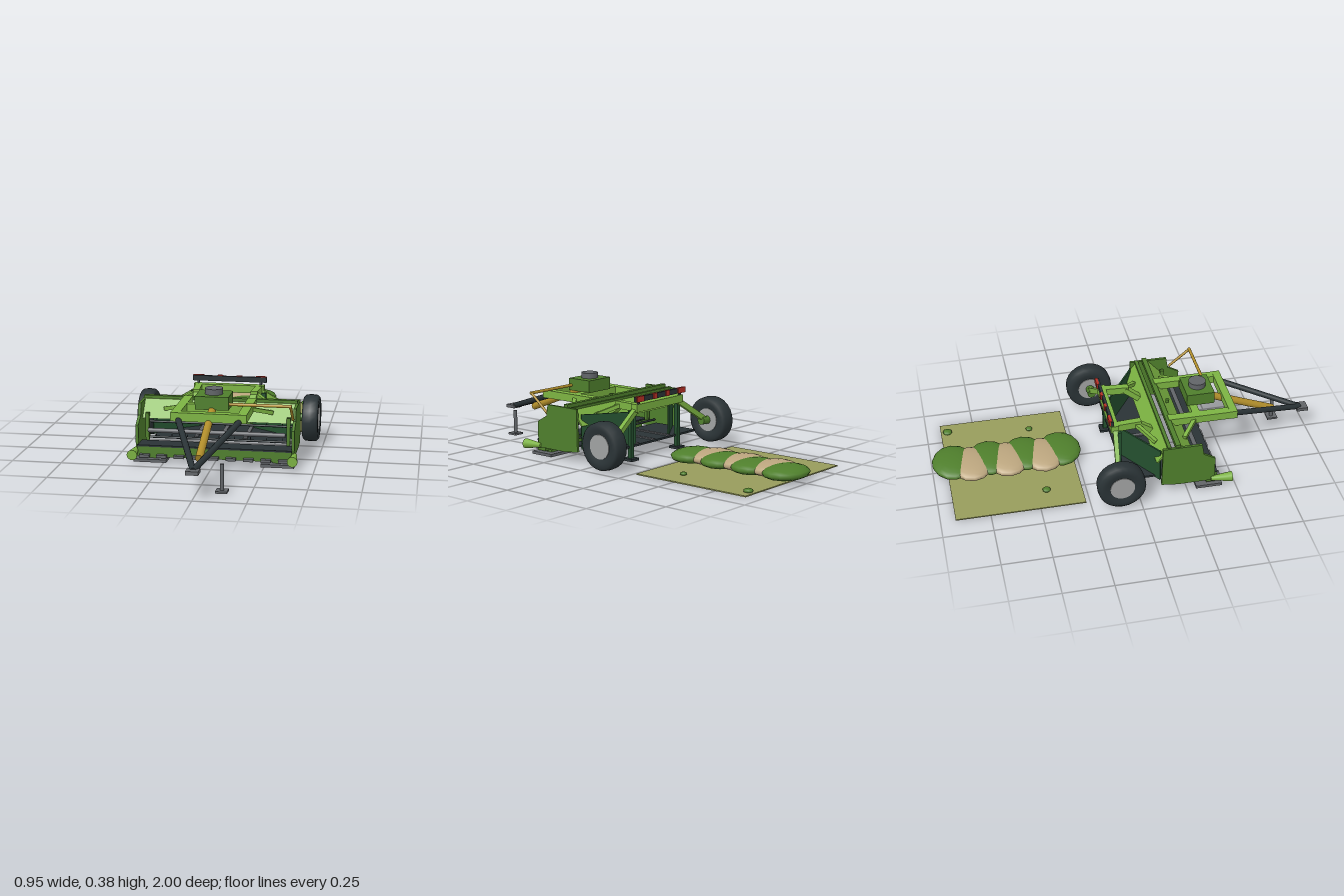
import * as THREE from 'three';

const mat = (name, color) => {
  const m = new THREE.MeshStandardMaterial({ color });
  m.name = name;
  return m;
};

export function createModel() {
  const light = mat('light green', 0x7cb342), mid = mat('mid green', 0x4f7f2c);
  const dark = mat('dark green', 0x24502f), slate = mat('slate black', 0x2a3336);
  const grey = mat('steel grey', 0x616468), gold = mat('gold', 0xb08d2a);
  const straw = mat('straw', 0xbba57e), olive = mat('stubble olive', 0x979c5c);
  const red = mat('lamp red', 0xb83026), rim = mat('rim grey', 0xa0a2a2);
  const root = new THREE.Group();
  root.name = 'mowerConditioner';

  const add = (name, geo, m) => {
    const mesh = new THREE.Mesh(geo, m);
    mesh.name = name;
    root.add(mesh);
    return mesh;
  };
  // box from its min and max on each axis
  const box = (name, m, x0, x1, y0, y1, z0, z1) => {
    const b = add(name, new THREE.BoxGeometry(Math.abs(x1 - x0), y1 - y0, z1 - z0), m);
    b.position.set((x0 + x1) / 2, (y0 + y1) / 2, (z0 + z1) / 2);
    return b;
  };
  // round bar between two points
  const rod = (name, m, a, b, r, r2 = r, seg = 12) => {
    const p = new THREE.Vector3(...a), q = new THREE.Vector3(...b);
    const mesh = add(name, new THREE.CylinderGeometry(r2, r, p.distanceTo(q), seg), m);
    mesh.position.copy(p).lerp(q, 0.5);
    mesh.quaternion.setFromUnitVectors(new THREE.Vector3(0, 1, 0), q.sub(p).normalize());
    return mesh;
  };
  // rectangular bar between two points
  const beam = (name, m, a, b, w, h) => {
    const p = new THREE.Vector3(...a), q = new THREE.Vector3(...b);
    const mesh = add(name, new THREE.BoxGeometry(w, h, p.distanceTo(q)), m);
    mesh.position.copy(p).lerp(q, 0.5);
    mesh.lookAt(q);
    return mesh;
  };
  // profile in (z, y) extruded along x
  const side = (name, m, pts, x0, x1) => {
    const s = new THREE.Shape(pts.map(([z, y]) => new THREE.Vector2(-z, y)));
    const g = new THREE.ExtrudeGeometry(s, { depth: x1 - x0, bevelEnabled: false });
    g.rotateY(Math.PI / 2).translate(x0, 0, 0);
    return add(name, g, m);
  };

  // stubble field and windrow
  box('stubble', olive, -0.39, 0.39, 0, 0.006, -0.925, -0.27);
  for (let i = 0; i < 7; i++) {
    const green = i % 2 === 0;
    const clump = add('windrowClump', new THREE.SphereGeometry(1, 14, 10), green ? mid : straw);
    clump.scale.set(0.135, 0.036, 0.11);
    clump.position.set(green ? 0.015 : -0.015, 0.044, -0.335 - i * 0.0925);
  }
  for (const [x, z, r] of [[0.32, -0.89, 0.024], [-0.26, -0.45, 0.021], [0.26, -0.46, 0.018]]) {
    const tuft = add('grassTuft', new THREE.SphereGeometry(r, 10, 8), mid);
    tuft.scale.y = 0.5;
    tuft.position.set(x, 0.012, z);
  }

  // hood: two sloping plates with top rails
  side('hoodFront', light, [[0.205, 0.275], [0.215, 0.275], [0.29, 0.19], [0.28, 0.19]], -0.385, 0.385);
  side('hoodRear', light, [[0.155, 0.275], [0.165, 0.275], [0.1, 0.19], [0.09, 0.19]], -0.385, 0.385);
  box('hoodRail', mid, -0.39, 0.39, 0.268, 0.29, 0.185, 0.21);
  box('hoodRail', mid, -0.39, 0.39, 0.268, 0.28, 0.145, 0.163);

  // cutter bar with knife tabs
  box('cutterBar', mid, -0.385, 0.385, 0.025, 0.08, 0.35, 0.405);
  box('cutterDeck', slate, -0.385, 0.385, 0.076, 0.084, 0.31, 0.408);
  for (let i = -4; i <= 4; i++) {
    box('knifeTab', grey, i * 0.0865 - 0.025, i * 0.0865 + 0.025, 0.026, 0.04, 0.39, 0.43);
  }
  // front roller and conditioner rotors with tines
  rod('frontRoller', grey, [-0.345, 0.141, 0.33], [0.345, 0.141, 0.33], 0.012);
  for (const [y, z] of [[0.163, 0.24], [0.085, 0.25]]) {
    rod('rotor', slate, [-0.375, y, z], [0.375, y, z], 0.006);
    for (let i = -4; i <= 4; i++) {
      rod('tine', slate, [i * 0.08, y - 0.006, z], [i * 0.08, y + 0.018, z], 0.003, 0.002, 6);
    }
  }
  // crop floor with ribs
  box('cropFloor', slate, -0.34, 0.34, 0.068, 0.078, -0.06, 0.21);
  for (const x of [-0.125, 0, 0.125]) box('floorRib', grey, x - 0.01, x + 0.01, 0.078, 0.084, -0.055, 0.2);

  // front frame, gearbox and cap
  box('frameFront', light, -0.185, 0.185, 0.252, 0.295, 0.52, 0.56);
  box('frameCross', light, -0.14, 0.14, 0.255, 0.293, 0.33, 0.37);
  box('gearbox', mid, -0.083, 0.083, 0.29, 0.355, 0.318, 0.463);
  rod('gearboxCap', grey, [0, 0.35, 0.39], [0, 0.384, 0.39], 0.044, 0.044, 20);
  rod('hoodBump', mid, [0, 0.27, 0.235], [0, 0.288, 0.235], 0.01);

  // rear frame, lamp bar and lamps
  box('rearBeam', light, -0.185, 0.185, 0.255, 0.295, -0.1, -0.06);
  box('lampBar', slate, -0.195, 0.195, 0.307, 0.334, -0.103, -0.088);
  for (const x of [-0.165, -0.05, 0.05, 0.165]) {
    const w = Math.abs(x) > 0.1 ? 0.028 : 0.014;
    box('lamp', red, x - w, x + w, 0.308, 0.337, -0.11, -0.096);
  }

  // drawbar hitch, drive shaft and parking jack
  box('hitchPlate', grey, -0.03, 0.03, 0.12, 0.138, 0.94, 1);
  rod('driveShaft', gold, [0, 0.29, 0.44], [0, 0.145, 0.81], 0.019);
  rod('jackPost', grey, [0.113, 0.005, 0.845], [0.113, 0.135, 0.845], 0.01);
  box('jackFoot', grey, 0.085, 0.141, 0, 0.01, 0.818, 0.874);

  // hydraulic line on the left side
  rod('hydraulicLine', gold, [0.07, 0.318, 0.447], [0.388, 0.318, 0.447], 0.008);
  rod('hydraulicLine', gold, [0.382, 0.32, 0.45], [0.382, 0.225, 0.335], 0.007);

  // wheel profile turned about its axle
  const tyre = new THREE.LatheGeometry(
    [[0.06, -0.034], [0.085, -0.041], [0.108, -0.041], [0.12, -0.03], [0.123, 0],
      [0.12, 0.03], [0.108, 0.041], [0.085, 0.041], [0.06, 0.034]]
      .map(([r, h]) => new THREE.Vector2(r, h)), 24).rotateZ(Math.PI / 2);

  for (const s of [-1, 1]) {
    add('tyre', tyre, slate).position.set(s * 0.432, 0.127, -0.1);
    rod('wheelHub', rim, [s * 0.394, 0.127, -0.1], [s * 0.47, 0.127, -0.1], 0.062, 0.062, 24);
    beam('wheelArm', light, [s * 0.16, 0.268, -0.075], [s * 0.37, 0.135, -0.1], 0.024, 0.028);
    rod('axleStub', mid, [s * 0.34, 0.13, -0.1], [s * 0.4, 0.127, -0.1], 0.022);

    // header end plate with stepped front
    side('endPlate', mid, [[0.39, 0.045], [0.39, 0.18], [0.33, 0.215], [0.32, 0.275],
      [0.12, 0.275], [0.115, 0.055], [0.2, 0.045]], s * 0.389 - 0.007, s * 0.389 + 0.007);
    box('endPost', mid, s * 0.347, s * 0.365, 0.08, 0.22, 0.28, 0.3);
    const cone = rod('dividerCone', light, [s * 0.396, 0.055, 0.37], [s * 0.396, 0.05, 0.48], 0.011, 0.026, 16);
    cone.name = 'dividerCone';

    // converging swath shield
    beam('swathShield', dark, [s * 0.365, 0.155, 0.115], [s * 0.13, 0.155, -0.045], 0.008, 0.18);

    // frame sides, braces and drawbar legs
    box('frameSide', light, s * 0.14, s * 0.185, 0.253, 0.294, 0.2, 0.53);
    beam('frontBrace', light, [s * 0.17, 0.272, 0.34], [s * 0.27, 0.237, 0.26], 0.02, 0.02);
    beam('rearSide', light, [s * 0.16, 0.275, -0.08], [s * 0.15, 0.275, 0.06], 0.035, 0.038);
    beam('rearSideDrop', light, [s * 0.15, 0.275, 0.04], [s * 0.14, 0.215, 0.12], 0.035, 0.03);
    beam('rearBrace', light, [s * 0.155, 0.275, 0.03], [s * 0.26, 0.225, 0.115], 0.02, 0.02);
    rod('drawbar', slate, [s * 0.15, 0.26, 0.545], [0, 0.132, 0.96], 0.015);
    rod('lampPost', slate, [s * 0.165, 0.285, -0.09], [s * 0.165, 0.31, -0.095], 0.007);

    // rear stand and front skid
    box('standLeg', dark, s * 0.175, s * 0.197, 0.015, 0.26, -0.071, -0.049);
    box('standFoot', slate, s * 0.157, s * 0.215, 0.003, 0.016, -0.09, -0.03);
    box('skidPlate', grey, s * 0.235, s * 0.4, 0.003, 0.018, 0.295, 0.43);
    box('skidMount', mid, s * 0.29, s * 0.36, 0.016, 0.03, 0.33, 0.4);
  }
  return root;
}
